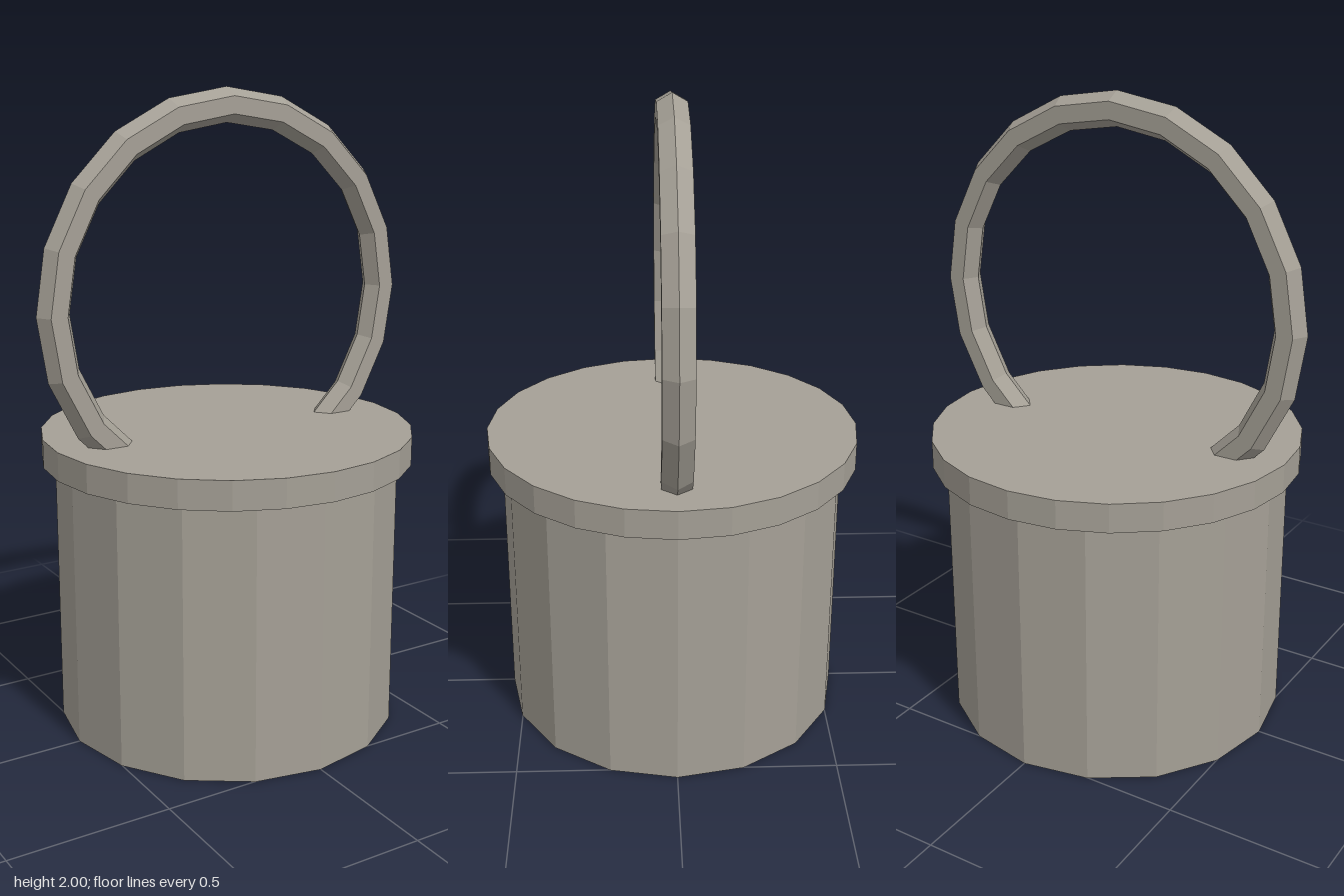
import * as THREE from 'three';

export function createModel() {
  const model = new THREE.Group();
  const material = new THREE.MeshStandardMaterial({ color: 0xa5a096, flatShading: true });

  const addPart = (name, geometry, y) => {
    const mesh = new THREE.Mesh(geometry, material);
    mesh.name = name;
    mesh.position.y = y;
    model.add(mesh);
  };

  const bodyHeight = 0.86, lidHeight = 0.09;

  // Sixteen-sided container
  addPart('body', new THREE.CylinderGeometry(0.543, 0.543, bodyHeight, 16), bodyHeight / 2);

  // Slightly wider, rounder lid
  addPart('lid', new THREE.CylinderGeometry(0.587, 0.587, lidHeight, 24), bodyHeight + lidHeight / 2);

  // Hexagonal-section ring handle, its lower part sunk through the lid
  addPart('handle', new THREE.TorusGeometry(0.588, 0.053, 6, 20), 1.359);

  return model;
}
